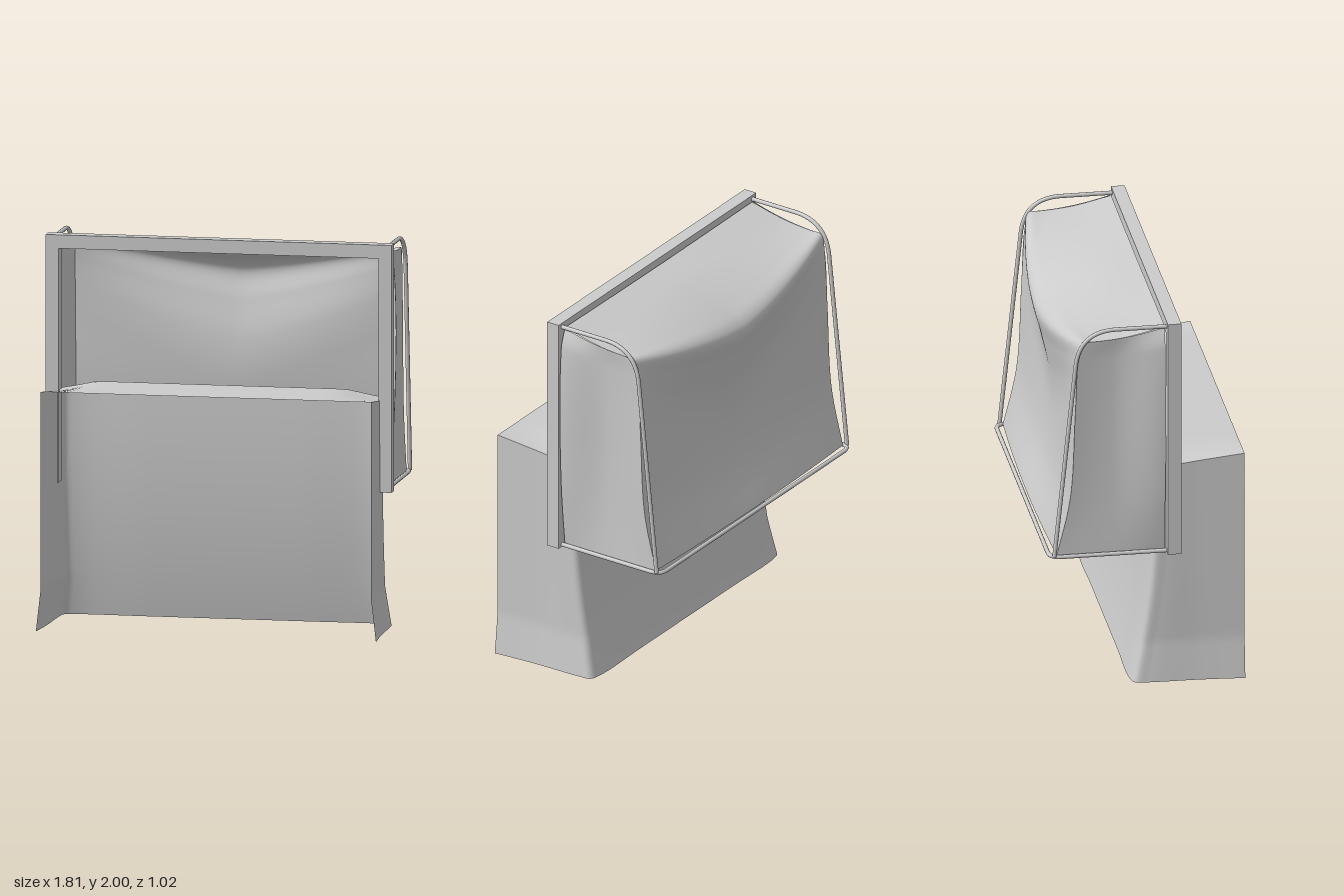
import * as THREE from 'three';

const material = new THREE.MeshStandardMaterial({ color: 0xcccccc });
const clothMaterial = new THREE.MeshStandardMaterial({ color: 0xcccccc, side: THREE.DoubleSide });
const V = (x, y, z) => new THREE.Vector3(x, y, z);
const { lerp, smoothstep } = THREE.MathUtils;

// Smooth cloth sheet from a rule point(u, v), with u and v from 0 to 1
function sheet(name, nu, nv, point) {
  const geometry = new THREE.PlaneGeometry(1, 1, nu, nv);
  const pos = geometry.attributes.position;
  for (let j = 0; j <= nv; j++) {
    for (let i = 0; i <= nu; i++) {
      const p = point(i / nu, j / nv);
      pos.setXYZ(j * (nu + 1) + i, p.x, p.y, p.z);
    }
  }
  geometry.computeVertexNormals();
  const mesh = new THREE.Mesh(geometry, clothMaterial);
  mesh.name = name;
  return mesh;
}

function box(name, w, h, d, x, y, z) {
  const mesh = new THREE.Mesh(new THREE.BoxGeometry(w, h, d), material);
  mesh.name = name;
  mesh.position.set(x, y, z);
  return mesh;
}

// Bent rod: straight runs joined by rounded corners
function rod(name, points, bend) {
  const path = new THREE.CurvePath();
  let from = points[0];
  for (let i = 1; i < points.length - 1; i++) {
    const corner = points[i];
    const a = corner.clone().add(points[i - 1].clone().sub(corner).setLength(bend));
    const b = corner.clone().add(points[i + 1].clone().sub(corner).setLength(bend));
    path.add(new THREE.LineCurve3(from, a));
    path.add(new THREE.QuadraticBezierCurve3(a, corner, b));
    from = b;
  }
  path.add(new THREE.LineCurve3(from, points[points.length - 1]));
  const mesh = new THREE.Mesh(new THREE.TubeGeometry(path, 100, 0.011, 10), material);
  mesh.name = name;
  return mesh;
}

// Smooth profile in the y-z plane from [y, z] pairs
const profile = (pairs) => new THREE.CatmullRomCurve3(pairs.map(([y, z]) => V(0, y, z)));

// Hanging bag: top and back run in one sheet that sags in the middle
function bag() {
  const group = new THREE.Group();
  group.name = 'bag';
  const middle = profile([[1.965, 0.1], [1.92, -0.1], [1.845, -0.3], [1.79, -0.4], [1.74, -0.43],
    [1.6, -0.4], [1.4, -0.36], [1.2, -0.355], [0.95, -0.395], [0.735, -0.48]]);
  const edge = profile([[1.97, 0.1], [1.925, -0.1], [1.91, -0.26], [1.91, -0.32], [1.89, -0.337],
    [1.82, -0.347], [1.7, -0.355], [1.5, -0.365], [1.05, -0.39], [0.735, -0.46]]);
  group.add(sheet('bagTopAndBack', 60, 90, (u, v) => {
    const s = 2 * u - 1, t = Math.abs(s);
    const m = middle.getPoint(v), e = edge.getPoint(v);
    return V(s * 0.852, lerp(e.y, m.y, 1 - t ** 1.3), lerp(e.z, m.z, 1 - t * t));
  }));
  // Side panels, swelling outward beside the frame and drawn in at mid depth
  const rear = profile([[0.735, -0.46], [1.05, -0.39], [1.5, -0.365], [1.82, -0.347], [1.91, -0.32]]);
  for (const side of [-1, 1]) {
    group.add(sheet('bagSide', 24, 40, (u, v) => {
      const r = rear.getPoint(v);
      const z = lerp(0.095, r.z, u);
      const top = 1.91 + 0.06 * (1 - u) ** 2;
      const y = 0.735 + (r.y - 0.735) * (top - 0.735) / 1.175;
      const belly = Math.sin(Math.PI * v);
      const x = 0.86 - 0.008 * u + 0.046 * belly * smoothstep(z, -0.17, 0.1)
        - 0.02 * belly * Math.sin(Math.PI * u) * u;
      return V(side * x, y, z);
    }));
  }
  return group;
}

// Lower curtain: a back wall with two side flaps and a ceiling, open at the front
function curtain() {
  const group = new THREE.Group();
  group.name = 'curtain';
  const height = 1.24;
  const backZ = (y) => 0.045 - 0.12 * Math.max(0, 1 - y / 1.2) ** 2.2;
  const plan = (y) => {
    const flare = 0.025 * Math.max(0, 1 - y / 0.22);
    const zb = backZ(y);
    const half = [[0.86, 0.51], [0.843, 0.28], [0.836, zb + 0.09], [0.825, zb + 0.02],
      [0.76, zb], [0.4, zb]].map(([x, z]) => V(x + flare, 0, z));
    const other = half.map((p) => V(-p.x, 0, p.z)).reverse();
    return new THREE.CatmullRomCurve3([...half, V(0, 0, zb), ...other], false, 'centripetal');
  };
  // Top edge: level in front, rounded at the back and pulled down at the corners
  const topY = (x, z) => {
    const k = THREE.MathUtils.clamp((0.125 - z) / 0.08, 0, 1);
    const round = 0.07 * (1 - Math.sqrt(1 - k * k));
    const pull = 0.045 * smoothstep(Math.abs(x), 0.6, 0.85) * THREE.MathUtils.clamp((0.51 - z) / 0.33, 0, 1);
    return height - Math.max(round, pull);
  };
  const rows = 40;
  const plans = Array.from({ length: rows + 1 }, (_, j) => plan(height * j / rows));
  group.add(sheet('curtainWalls', 120, rows, (u, v) => {
    const p = plans[Math.round(v * rows)].getPoint(u);
    return p.setY(v * topY(p.x, p.z));
  }));
  group.add(sheet('curtainCeiling', 40, 60, (u, v) => {
    const p = plans[rows].getPoint(v * 0.5);
    const x = p.x * (1 - 2 * u);
    return V(x, topY(x, p.z), p.z);
  }));
  return group;
}

export function createModel() {
  const model = new THREE.Group();
  model.name = 'curtainedFrame';

  // Rigid frame
  const frame = new THREE.Group();
  frame.name = 'frame';
  frame.add(box('topBar', 1.8, 0.07, 0.07, 0, 1.965, 0.142));
  for (const side of [-1, 1]) {
    frame.add(box('post', 0.068, 1.21, 0.07, side * 0.866, 1.325, 0.142));
  }
  model.add(frame);

  // Bent rods that hold the bag open
  for (const side of [-1, 1]) {
    const x = side * 0.867;
    model.add(rod('sideRod', [V(x, 1.978, 0.12), V(x, 1.978, -0.345), V(x, 0.735, -0.475)], 0.19));
  }
  model.add(rod('bottomRod', [V(-0.867, 0.732, 0.12), V(-0.867, 0.732, -0.498),
    V(0.867, 0.732, -0.498), V(0.867, 0.732, 0.12)], 0.06));

  model.add(bag(), curtain());
  return model;
}
